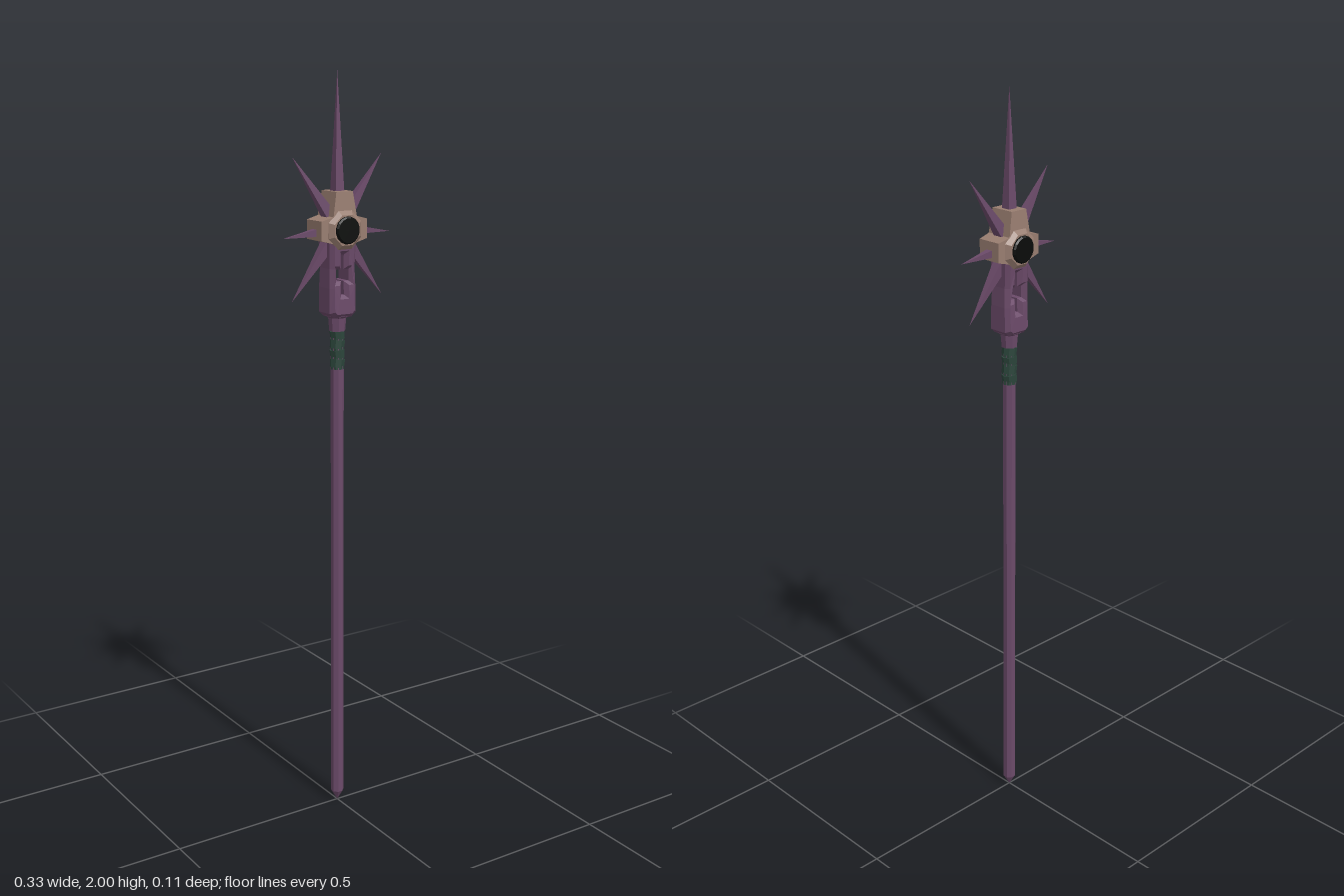
import * as THREE from 'three';

const material = (name, color) => {
  const m = new THREE.MeshStandardMaterial({ color });
  m.name = name;
  return m;
};

export function createModel() {
  const purple = material('dusky purple', 0x6b4a69);
  const tan = material('dusty tan', 0x987d70);
  const green = material('dark green wrap', 0x2c463c);
  const black = material('black', 0x0a0c0a);
  const group = new THREE.Group();
  const HUB_Y = 1.608;

  // Faceted mesh: every face keeps its own normal
  function add(name, geometry, mat, x = 0, y = 0, z = 0) {
    const g = geometry.index ? geometry.toNonIndexed() : geometry;
    g.computeVertexNormals();
    const mesh = new THREE.Mesh(g, mat);
    mesh.name = name;
    mesh.position.set(x, y, z);
    group.add(mesh);
    return mesh;
  }
  const lathe = (pts, sides) => new THREE.LatheGeometry(
    pts.map(([r, y]) => new THREE.Vector2(r, y)), sides, Math.PI / sides);

  // Shaft with a pointed foot
  add('shaft', lathe([[0, 0], [0.0175, 0.03], [0.0175, 1.37]], 8), purple);

  // Grip wrap: slightly tilted bands
  add('wrapCore', new THREE.CylinderGeometry(0.0185, 0.0185, 0.105, 8), green, 0, 1.297);
  for (let i = 0; i < 4; i++) {
    const band = add('wrapBand', new THREE.CylinderGeometry(0.02, 0.019, 0.022, 8), green, 0, 1.26 + i * 0.025);
    band.rotation.z = i % 2 ? 0.12 : -0.12;
  }

  // Collar under the head
  add('collar', lathe([[0, 1.345], [0.021, 1.345], [0.024, 1.38], [0.032, 1.385], [0.032, 1.4], [0, 1.4]], 8), purple);

  // Head block with a cross-shaped window through it
  const body = new THREE.Shape([
    [-0.022, 1.393], [0.022, 1.393], [0.03, 1.4], [0.03, 1.46], [0.028, 1.51], [0.03, 1.575],
    [-0.03, 1.575], [-0.028, 1.51], [-0.03, 1.46], [-0.03, 1.4],
  ].map(p => new THREE.Vector2(...p)));
  const w = 0.014, a = 0.029, top = 1.555, bottom = 1.432, up = 1.517, low = 1.467;
  body.holes.push(new THREE.Path([
    [-w, bottom], [-w, low], [-a, low], [-a, up], [-w, up], [-w, top],
    [w, top], [w, up], [a, up], [a, low], [w, low], [w, bottom],
  ].map(p => new THREE.Vector2(...p))));
  const bodyGeo = new THREE.ExtrudeGeometry(body, {
    depth: 0.052, bevelEnabled: true, bevelThickness: 0.011, bevelSize: 0.01,
    bevelOffset: 0, bevelSegments: 1,
  });
  bodyGeo.translate(0, 0, -0.026);
  // Pinch the waist front to back
  const p = bodyGeo.attributes.position;
  for (let i = 0; i < p.count; i++) {
    const d = Math.abs(p.getY(i) - 1.5) / 0.08;
    p.setZ(i, p.getZ(i) * (0.86 + 0.14 * Math.min(1, d)));
  }
  add('headBlock', bodyGeo, purple);

  // Hub disc facing front and back
  const hub = add('hub', lathe([[0, -0.047], [0.041, -0.047], [0.053, -0.036],
    [0.053, 0.036], [0.041, 0.047], [0, 0.047]], 8), tan, 0, HUB_Y);
  hub.rotation.x = Math.PI / 2;

  // Round black inset, rounded at both ends
  const eye = add('hubInset', lathe([[0, -0.055], [0.031, -0.055], [0.035, -0.051], [0.035, 0.051],
    [0.031, 0.055], [0, 0.055]], 16), black, 0, HUB_Y);
  eye.rotation.x = Math.PI / 2;

  // Tapered lugs at the top and both sides of the hub
  for (const [dx, dy, reach] of [[0, 1, 0.096], [1, 0, 0.069], [-1, 0, 0.069]]) {
    const len = reach - 0.02;
    const geo = new THREE.CylinderGeometry(0.66, 1, len, 4).rotateY(Math.PI / 4);
    const q = geo.attributes.position;
    for (let i = 0; i < q.count; i++) {
      const zScale = q.getY(i) > 0 ? 0.034 / 0.4667 : 0.038 / 0.7071;
      q.setXYZ(i, q.getX(i) * 0.053, q.getY(i), q.getZ(i) * zScale);
    }
    const r = 0.02 + len / 2;
    const lug = add('hubLug', geo, tan, dx * r, HUB_Y + dy * r, 0);
    lug.rotation.z = -Math.atan2(dx, dy);
  }

  // Four-sided spikes radiating from the hub
  function spike(name, tipX, tipY, start, half) {
    const dir = new THREE.Vector2(tipX, tipY - HUB_Y);
    const len = dir.length() - start;
    dir.normalize();
    const geo = new THREE.ConeGeometry(half * Math.SQRT2, len, 4).rotateY(Math.PI / 4);
    const r = start + len / 2;
    const mesh = add(name, geo, purple, dir.x * r, HUB_Y + dir.y * r, 0);
    mesh.rotation.z = -Math.atan2(dir.x, dir.y);
  }
  spike('topSpike', 0, 2, 0.06, 0.0145);
  for (const s of [-1, 1]) {
    spike('upperSpike', s * 0.134, 1.793, 0.035, 0.015);
    spike('sideSpike', s * 0.163, 1.592, 0.03, 0.013);
    spike('lowerSpike', s * 0.138, 1.43, 0.035, 0.015);
  }
  return group;
}
